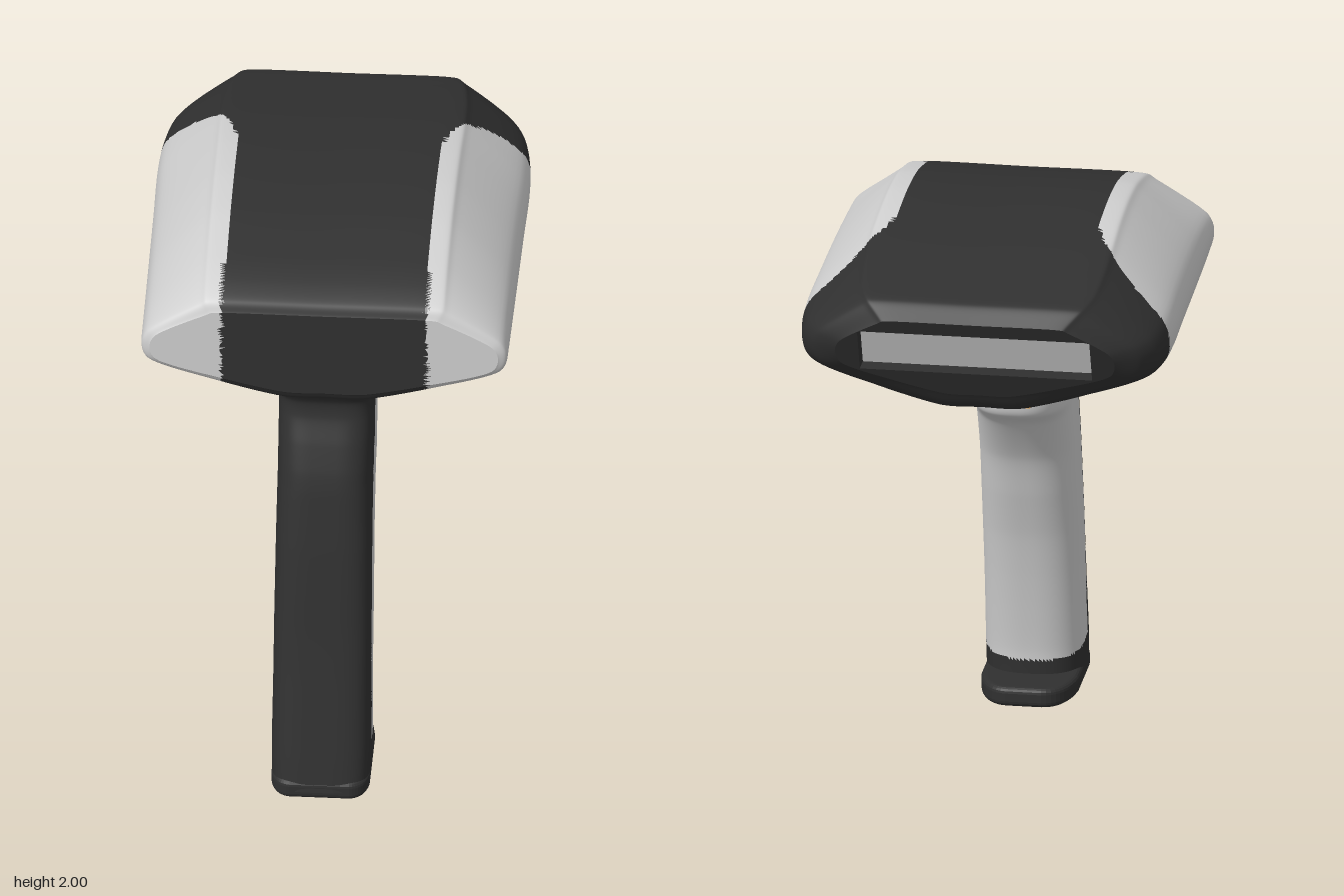
import * as THREE from 'three';

const material = (name, color) => {
  const m = new THREE.MeshStandardMaterial({ color });
  m.name = name;
  return m;
};

const V = (x, y, z = 0) => new THREE.Vector3(x, y, z);
const smooth = (points, closed = false) => new THREE.CatmullRomCurve3(points, closed, 'catmullrom', 0.4);

// linear lookup in rows of [key, value], keys descending
function lookup(rows, key) {
  for (let i = 1; i < rows.length; i++) {
    const [k0, v0] = rows[i - 1], [k1, v1] = rows[i];
    if (key >= k1) return THREE.MathUtils.mapLinear(Math.min(key, k0), k0, k1, v0, v1);
  }
  return rows[rows.length - 1][1];
}

// smooth surface closed in u; faces where isDark(centre) holds get the second material
function surface(name, n, m, fn, materials, isDark) {
  const pos = [], lists = [[], []], pts = [];
  for (let j = 0; j <= m; j++) {
    for (let i = 0; i < n; i++) {
      const p = fn(i / n, j / m);
      pts.push(p);
      pos.push(p.x, p.y, p.z);
    }
  }
  const add = (a, b, c) => {
    const centre = V(0, 0).add(pts[a]).add(pts[b]).add(pts[c]).divideScalar(3);
    lists[isDark(centre) ? 1 : 0].push(a, b, c);
  };
  for (let j = 0; j < m; j++) {
    for (let i = 0; i < n; i++) {
      const k = (i + 1) % n;
      const a = j * n + i, b = j * n + k, c = a + n, d = b + n;
      add(a, b, c);
      add(b, d, c);
    }
  }
  const g = new THREE.BufferGeometry();
  g.setAttribute('position', new THREE.Float32BufferAttribute(pos, 3));
  g.setIndex([...lists[0], ...lists[1]]);
  g.addGroup(0, lists[0].length, 0);
  g.addGroup(lists[0].length, lists[1].length, 1);
  g.computeVertexNormals();
  const mesh = new THREE.Mesh(g, materials);
  mesh.name = name;
  return mesh;
}

export function createModel() {
  const light = material('lightGrey', 0xd0d0d0);
  const dark = material('charcoal', 0x303030);
  const orange = material('orange', 0xcc850c);
  const two = [light, dark];
  const model = new THREE.Group();
  model.name = 'handheldScanner';

  // head cross-section, clockwise from the top
  const half = [[0.37, 2], [0.44, 1.965], [0.615, 1.775], [0.615, 1.61], [0.37, 1.505], [0.15, 1.437]];
  const section = smooth([
    V(0, 2), ...half.map(([x, y]) => V(x, y)),
    V(0, 1.435), ...half.slice().reverse().map(([x, y]) => V(-x, y)),
  ], true);

  // head stations from back to nose: z bottom, z top, y bottom, y top, half width
  const stations = [
    [0.592, 0.592, 1.52, 1.84, 0.575], [0.57, 0.57, 1.488, 1.875, 0.602], [0.5, 0.5, 1.468, 1.91, 0.605],
    [0.4, 0.4, 1.45, 1.942, 0.606], [0.2, 0.2, 1.438, 1.985, 0.608], [0, 0, 1.434, 2, 0.61],
    [-0.2, -0.2, 1.432, 1.993, 0.612], [-0.38, -0.4, 1.432, 1.97, 0.615], [-0.51, -0.56, 1.436, 1.94, 0.61],
    [-0.61, -0.7, 1.45, 1.91, 0.59], [-0.68, -0.79, 1.48, 1.885, 0.545], [-0.715, -0.84, 1.53, 1.83, 0.465],
  ];
  const lower = smooth(stations.map(s => V(s[0], s[2], s[4])));
  const upper = smooth(stations.map(s => V(s[1], s[3])));
  const mid = 1.7;
  const headPoint = (u, v) => {
    const s = section.getPoint(u), b = lower.getPoint(v), t = upper.getPoint(v);
    const y = s.y > mid
      ? mid + (s.y - mid) * (t.y - mid) / 0.3
      : mid - (mid - s.y) * (mid - b.y) / 0.265;
    return V(s.x * b.z / 0.615, y, b.x + (t.x - b.x) * (y - b.y) / (t.y - b.y));
  };

  // dark top strip sweeps out to the nose; sides and underside are light
  const headDark = ({ x, y, z }) => {
    const ax = Math.abs(x);
    if (y > 1.72) {
      if (z < -0.52) return true;
      const s = Math.max(0, (-z - 0.2) / 0.32);
      return ax < 0.62 - 0.27 * Math.sqrt(1 - s * s);
    }
    const edge = -0.525 + 0.095 * Math.pow((1.72 - y) / 0.29, 1.6);
    return z < edge || (ax < 0.35 && z > 0.45);
  };
  model.add(surface('headShell', 140, 150, headPoint, two, headDark));

  // flat back of the head
  model.add(surface('headBack', 140, 30, (u, v) => {
    const p = headPoint(u, 0);
    return V(p.x * v, mid + (p.y - mid) * v, p.z);
  }, two, p => Math.abs(p.x) < 0.35));

  // slanted nose rim, recess walls and scan window
  const noseZ = y => -0.715 - 0.125 * (y - 1.53) / 0.3;
  const opening = p => {
    const y = THREE.MathUtils.clamp(p.y, 1.62, 1.78);
    return V(THREE.MathUtils.clamp(p.x, -0.4, 0.4), y, noseZ(y));
  };
  const always = () => true;
  model.add(surface('noseRim', 140, 3, (u, v) => {
    const p = headPoint(u, 1);
    return p.clone().lerp(opening(p), v);
  }, two, always));
  model.add(surface('recessWalls', 140, 1, (u, v) => {
    const p = opening(headPoint(u, 1));
    p.z += 0.08 * v;
    return p;
  }, two, always));
  const scanWindow = new THREE.Mesh(new THREE.PlaneGeometry(0.82, 0.19), light);
  scanWindow.geometry.rotateY(Math.PI).rotateX(-Math.atan(0.125 / 0.3));
  scanWindow.position.set(0, 1.7, noseZ(1.7) + 0.07);
  scanWindow.name = 'scanWindow';
  model.add(scanWindow);

  // curved grip: y, back z, front z, half width
  const grip = [
    [1.5, 0.57, 0.07, 0.21], [1.44, 0.535, 0.11, 0.172], [1.38, 0.54, 0.12, 0.165], [1.29, 0.577, 0.118, 0.165],
    [1.2, 0.61, 0.112, 0.165], [1.14, 0.627, 0.125, 0.165], [1.08, 0.64, 0.2, 0.165], [0.92, 0.672, 0.3, 0.166],
    [0.76, 0.7, 0.352, 0.167], [0.6, 0.727, 0.4, 0.168], [0.45, 0.755, 0.433, 0.168], [0.3, 0.785, 0.46, 0.169],
    [0.15, 0.815, 0.482, 0.17], [0.03, 0.838, 0.485, 0.168],
  ];
  const gripZ = smooth(grip.map(g => V(g[1], g[0], g[2])));
  const gripW = smooth(grip.map(g => V(g[3], g[0])));
  const gripEdge = [
    [1.48, 0.39], [1.4, 0.4], [1.3, 0.425], [1.1, 0.51], [0.9, 0.57], [0.6, 0.635], [0.4, 0.663], [0.15, 0.678],
  ];
  model.add(surface('grip', 96, 150, (u, v) => {
    const a = u * Math.PI * 2, c = Math.cos(a), s = Math.sin(a);
    const p = gripZ.getPoint(v), w = gripW.getPoint(v).x;
    const e = c > 0 ? 0.5 : 0.8;
    return V(
      -w * Math.sign(s) * Math.pow(Math.abs(s), e),
      p.y,
      (p.x + p.z) / 2 + (p.x - p.z) / 2 * Math.sign(c) * Math.pow(Math.abs(c), e),
    );
  }, two, p => p.z > lookup(gripEdge, p.y) || p.y < 0.12 + 0.2 * (p.z - 0.49)));

  // foot with a rounded tongue reaching under the grip
  const foot = new THREE.Shape();
  foot.moveTo(-0.1, -0.815);
  foot.lineTo(0.1, -0.815);
  foot.quadraticCurveTo(0.14, -0.81, 0.148, -0.75);
  foot.lineTo(0.148, -0.5);
  foot.quadraticCurveTo(0.13, -0.36, 0.06, -0.355);
  foot.lineTo(-0.06, -0.355);
  foot.quadraticCurveTo(-0.13, -0.36, -0.148, -0.5);
  foot.lineTo(-0.148, -0.75);
  foot.quadraticCurveTo(-0.14, -0.81, -0.1, -0.815);
  const footGeo = new THREE.ExtrudeGeometry(foot, {
    depth: 0.029, bevelThickness: 0.02, bevelSize: 0.02, bevelSegments: 4, curveSegments: 10,
  });
  footGeo.rotateX(-Math.PI / 2).translate(0, 0.02, 0);
  const footMesh = new THREE.Mesh(footGeo, dark);
  footMesh.name = 'foot';
  model.add(footMesh);

  // trigger, side outline in (z, y)
  const outline = new THREE.Shape();
  outline.moveTo(0.11, 1.47);
  outline.lineTo(0.11, 1.4);
  outline.quadraticCurveTo(0.122, 1.3, 0.14, 1.245);
  outline.lineTo(0.122, 1.21);
  outline.lineTo(0.032, 1.218);
  outline.quadraticCurveTo(0.068, 1.28, 0.07, 1.36);
  outline.lineTo(0.07, 1.47);
  const triggerGeo = new THREE.ExtrudeGeometry(outline, {
    depth: 0.13, bevelThickness: 0.01, bevelSize: 0.01, bevelSegments: 3, curveSegments: 8,
  });
  triggerGeo.translate(0, 0, -0.065).rotateY(-Math.PI / 2);
  const trigger = new THREE.Mesh(triggerGeo, orange);
  trigger.name = 'trigger';
  model.add(trigger);

  return model;
}
